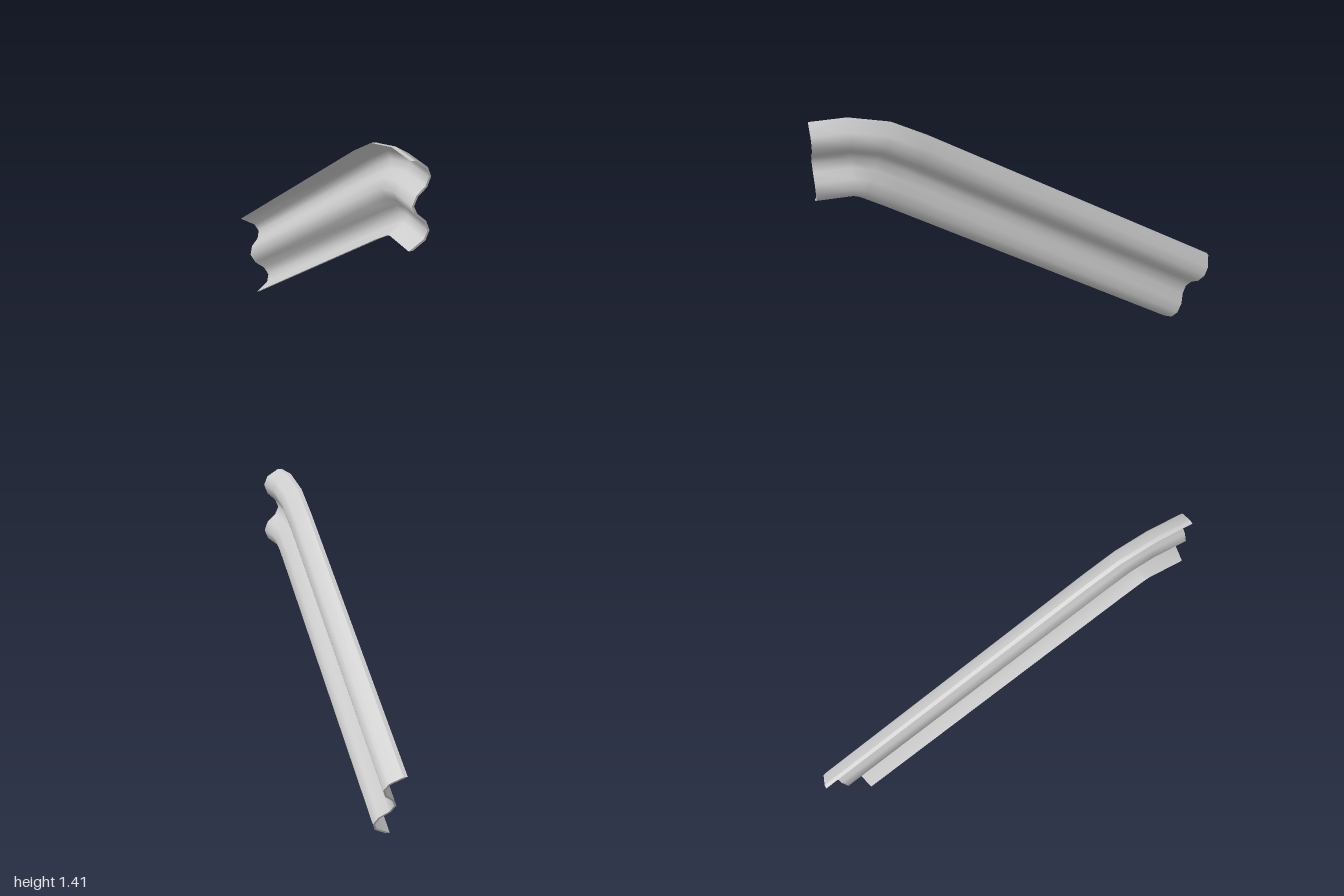
import * as THREE from 'three';
import { mergeGeometries } from 'three/addons/utils/BufferGeometryUtils.js';

const HEIGHT = 0.415;

// Half of the W-shaped section as [x, height], lower lip to central valley
const outerHalf = [[-0.03, 0], [0.03, 0.038], [0.048, 0.083], [0.03, 0.13], [-0.012, 0.167], [-0.03, HEIGHT / 2]];
const innerHalf = [[-0.05, 0], [0.022, 0.045], [0.038, 0.083], [0.022, 0.124], [-0.02, 0.161], [-0.04, HEIGHT / 2]];
const mirrorUp = (half) => [...half, ...half.slice(0, -1).reverse().map(([x, h]) => [x, HEIGHT - h])];

// Stations along the rail: bottom edge and top edge as [z, y]
const stations = [
  { bottom: [1, 1], top: [1, 1.415] },
  { bottom: [0.82, 1], top: [0.82, 1.415] },
  { bottom: [0.79, 0.99], top: [0.62, 1.365] },
  { bottom: [0.673, 0.92], top: [0.45, 1.27] },
  { bottom: [-0.777, 0], top: [-1, 0.352] },
];

// Places a section at a station
function place(section, { bottom, top }) {
  return section.map(([x, h]) => {
    const t = h / HEIGHT;
    return new THREE.Vector3(
      x,
      THREE.MathUtils.lerp(bottom[1], top[1], t),
      THREE.MathUtils.lerp(bottom[0], top[0], t),
    );
  });
}

// Smooth patch through rows of points
function patch(rows) {
  const n = rows[0].length;
  const index = [];
  for (let i = 0; i < rows.length - 1; i++) {
    for (let j = 0; j < n - 1; j++) {
      const a = i * n + j, b = a + n;
      index.push(a, b, a + 1, b, b + 1, a + 1);
    }
  }
  const geometry = new THREE.BufferGeometry().setFromPoints(rows.flat());
  geometry.setIndex(index);
  geometry.computeVertexNormals();
  return geometry;
}

export function createModel() {
  const group = new THREE.Group();
  group.name = 'guardrail';
  const material = new THREE.MeshStandardMaterial({ color: 0xcccccc });
  const add = (name, geometry) => {
    const mesh = new THREE.Mesh(geometry, material);
    mesh.name = name;
    group.add(mesh);
  };

  const outer = mirrorUp(outerHalf);
  const inner = mirrorUp(innerHalf);
  const last = outer.length - 1;
  const sweep = (section) => patch(stations.map((s) => place(section, s)));

  // Corrugated faces of the sheet
  add('outerFace', sweep(outer));
  add('innerFace', sweep([...inner].reverse()));

  // Thin long edges
  add('longEdges', mergeGeometries([
    sweep([outer[last], inner[last]]),
    sweep([inner[0], outer[0]]),
  ]));

  // Cut ends
  const front = stations[0];
  const back = stations[stations.length - 1];
  add('endEdges', mergeGeometries([
    patch([place(inner, front), place(outer, front)]),
    patch([place(outer, back), place(inner, back)]),
  ]));

  return group;
}
